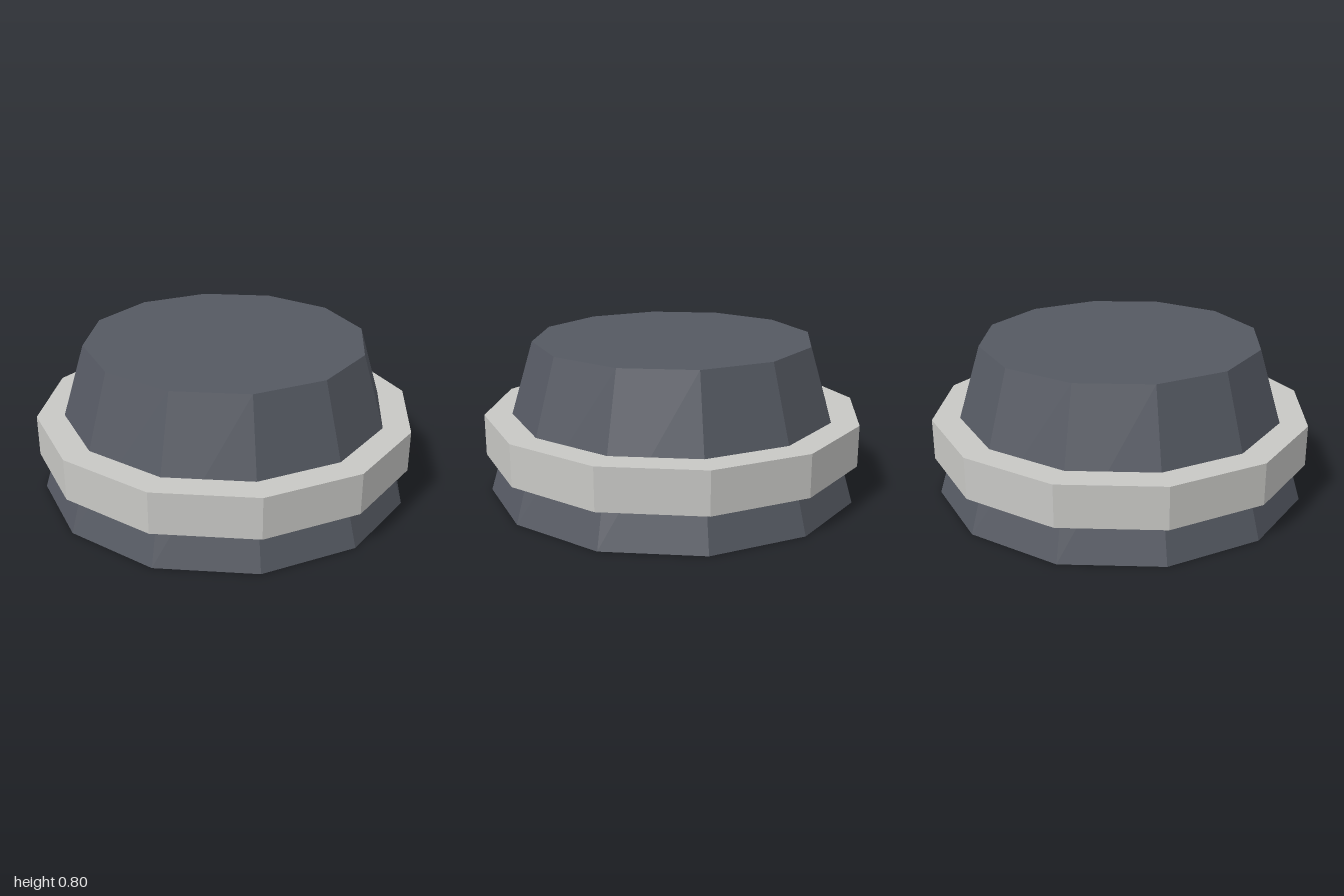
import * as THREE from 'three';

const SIDES = 12;

// Faceted twelve-sided drum standing between two heights
function drum(name, topRadius, bottomRadius, y0, y1, material) {
  const geometry = new THREE.CylinderGeometry(topRadius, bottomRadius, y1 - y0, SIDES).toNonIndexed();
  geometry.computeVertexNormals();
  const mesh = new THREE.Mesh(geometry, material);
  mesh.name = name;
  mesh.position.y = (y0 + y1) / 2;
  return mesh;
}

export function createModel() {
  const darkGrey = new THREE.MeshStandardMaterial({ color: 0x555962, flatShading: true });
  darkGrey.name = 'darkGrey';
  const lightGrey = new THREE.MeshStandardMaterial({ color: 0xc8c8c5, flatShading: true });
  lightGrey.name = 'lightGrey';

  const model = new THREE.Group();
  model.name = 'bandedDrum';
  // Tapered body
  model.add(drum('body', 0.738, 0.983, 0, 0.8, darkGrey));
  // Straight band around the body
  model.add(drum('band', 1, 1, 0.2, 0.417, lightGrey));
  return model;
}
